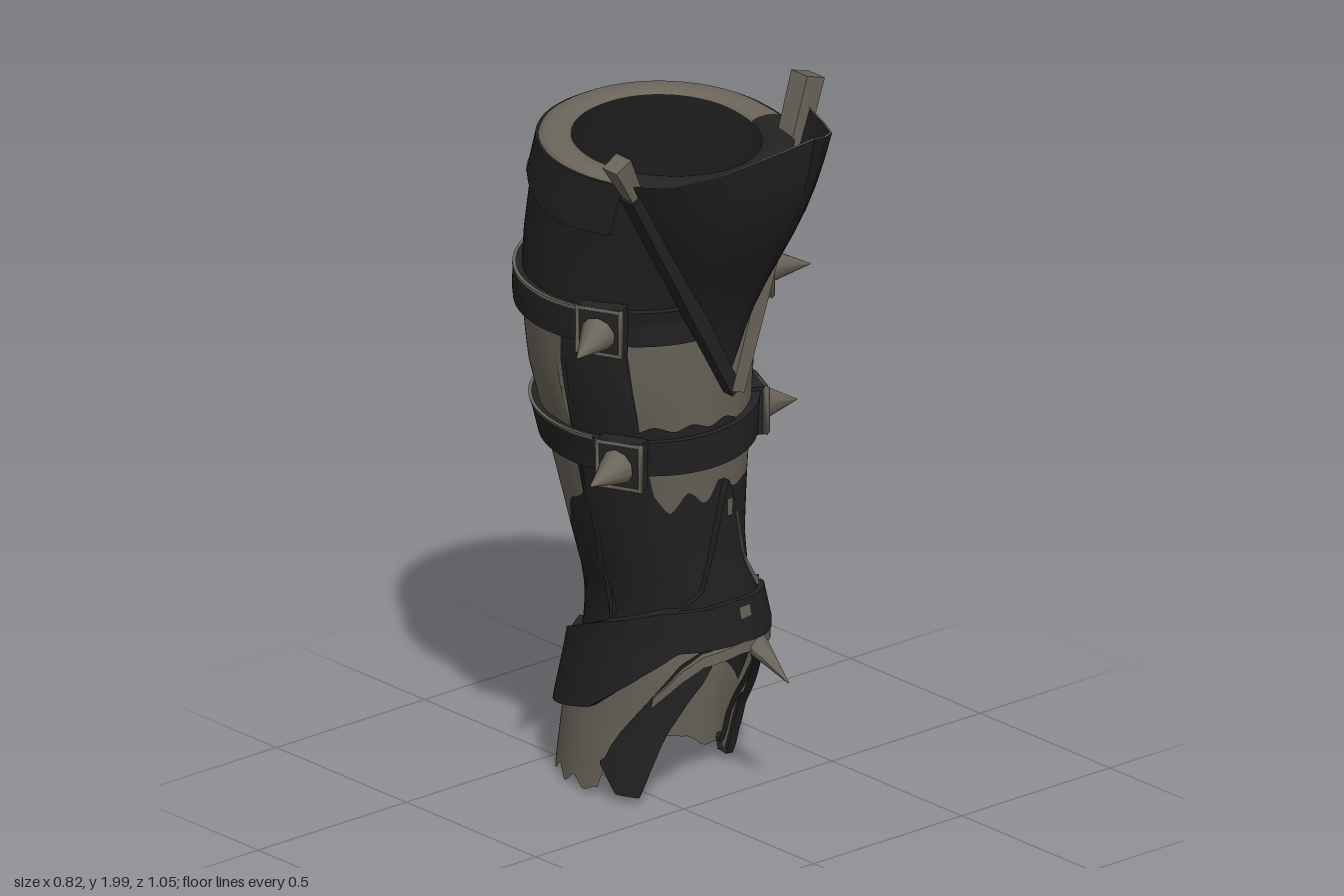
import * as THREE from 'three';
import { toCreasedNormals } from 'three/addons/utils/BufferGeometryUtils.js';

const mat = (name, color) => new THREE.MeshStandardMaterial({ name, color, side: THREE.DoubleSide });
const V = (x, y, z) => new THREE.Vector3(x, y, z);
const DEG = Math.PI / 180;

// Leg cross-sections: y, left x, right x, front z, back z, bulge toward the rear outer side
const SECTIONS = [
  [0.0, -0.1, 0.31, 0.0, -0.51, -0.025], [0.2, -0.085, 0.32, 0.0, -0.49, -0.03], [0.35, -0.075, 0.34, 0.03, -0.46, -0.03],
  [0.45, -0.07, 0.34, 0.03, -0.44, -0.025], [0.55, -0.075, 0.31, 0.03, -0.43, 0], [0.7, -0.125, 0.3, 0.03, -0.43, 0.018],
  [0.85, -0.16, 0.3, 0.05, -0.455, 0.03], [1.0, -0.2, 0.305, 0.07, -0.475, 0.035], [1.2, -0.265, 0.315, 0.09, -0.48, 0.04],
  [1.4, -0.3, 0.3, 0.1, -0.47, 0.045], [1.57, -0.32, 0.29, 0.16, -0.44, 0.035], [1.7, -0.335, 0.295, 0.22, -0.41, 0.02],
  [1.87, -0.34, 0.305, 0.29, -0.36, 0.01],
];

// Linear lookup in rows whose first entry is the key
function lookup(rows, k, col = 1) {
  if (k <= rows[0][0]) return rows[0][col];
  for (let i = 1; i < rows.length; i++) {
    const a = rows[i - 1], b = rows[i];
    if (k <= b[0]) return a[col] + (b[col] - a[col]) * (k - a[0]) / (b[0] - a[0]);
  }
  return rows[rows.length - 1][col];
}
// Point on the leg: angle 0 is the front, 90 the +x side
function legPoint(deg, y, off) {
  const [l, r, f, b, k] = [1, 2, 3, 4, 5].map(c => lookup(SECTIONS, y, c));
  const s = Math.sin(deg * DEG), c = Math.cos(deg * DEG);
  const out = off + (s > 0 && c < 0 ? -2 * s * c * k : 0);
  return V((l + r) / 2 + ((r - l) / 2 + out) * s, y, (f + b) / 2 + ((f - b) / 2 + out) * c);
}
// Smooth grid surface from a point function
function grid(nu, nv, fn) {
  const pos = [], idx = [], w = nv + 1;
  for (let i = 0; i <= nu; i++) for (let j = 0; j <= nv; j++) pos.push(...fn(i / nu, j / nv).toArray());
  for (let i = 0; i < nu; i++) for (let j = 0; j < nv; j++) {
    const a = i * w + j, b = a + w;
    idx.push(a, b, b + 1, a, b + 1, a + 1);
  }
  const g = new THREE.BufferGeometry();
  g.setAttribute('position', new THREE.Float32BufferAttribute(pos, 3));
  g.setIndex(idx);
  return toCreasedNormals(g, 0.8);
}
const value = (f, a) => (typeof f === 'function' ? f(a) : f);
const wrap = a => ((a + 540) % 360) - 180;
const bySide = rows => a => lookup(rows, Math.abs(wrap(a)));
const around = rows => a => lookup(rows, wrap(a));
const jag = (a, size) => size * (Math.abs(((a * 0.045 + 50) % 1) - 0.5) * 2 + 0.6 * Math.sin(a * 0.23));

export function createModel() {
  const group = new THREE.Group();
  const dark = mat('darkLeather', 0x232323), tan = mat('wornHide', 0x6b655a);
  const add = (name, geo, m) => {
    const mesh = new THREE.Mesh(geo, m);
    mesh.name = name;
    group.add(mesh);
    return mesh;
  };
  // Shell between two heights around the leg, with turned-in edges if thick
  function shell(name, m, a0, a1, lo, hi, off = 0, thick = 0, inside = false) {
    const n = Math.max(4, Math.round((a1 - a0) / 3)), rows = 12;
    add(name, grid(n, rows, (u, v) => {
      const a = inside ? a1 + (a0 - a1) * u : a0 + (a1 - a0) * u;
      const edge = thick && (v === 0 || v === 1);
      const t = thick ? Math.min(1, Math.max(0, (v * rows - 1) / (rows - 2))) : v;
      const y = value(lo, a) + (value(hi, a) - value(lo, a)) * t;
      return legPoint(a, y, edge ? off - thick : off);
    }), m);
  }
  const cylinderBetween = (name, m, a, b, r0, r1, sides) => {
    const mesh = add(name, new THREE.CylinderGeometry(r1, r0, a.distanceTo(b), sides), m);
    mesh.position.copy(a).lerp(b, 0.5);
    mesh.quaternion.setFromUnitVectors(V(0, 1, 0), b.clone().sub(a).normalize());
    return mesh;
  };

  // Leg: dark ankle, hide calf with a ragged lower edge, dark collar
  const tear = around([[-180, 0.5], [-165, 0.6], [-150, 0.58], [-120, 0.74], [-90, 0.85], [-82, 1.4], [-48, 1.4],
    [-44, 0.86], [-25, 0.84], [0, 0.88], [40, 0.86], [75, 0.85], [95, 0.81], [114, 0.71], [143, 0.62], [165, 0.57], [180, 0.5]]);
  const tearEdge = a => tear(a) + (Math.abs(wrap(a)) > 176 ? 0 : jag(a, 0.03));
  const cuffLow = around([[-180, 0.17], [-150, 0.18], [-120, 0.21], [-90, 0.25], [-60, 0.37], [-40, 0.44], [0, 0.45],
    [70, 0.42], [100, 0.36], [140, 0.24], [165, 0.18], [180, 0.17]]);
  const cuffHigh = bySide([[0, 0.57], [50, 0.55], [90, 0.49], [135, 0.4], [150, 0.35], [165, 0.38], [180, 0.31]]);
  const arch = bySide([[0, 0.425], [25, 0.405], [38, 0.37], [47, 0.32], [64, 0.2], [76, 0.11], [81, 0.02], [180, 0.02]]);
  const rimY = a => 1.838 - 0.02 * Math.cos(a * DEG);
  shell('ankle', dark, -180, 180, cuffLow, tearEdge);
  shell('calf', tan, -180, 180, tearEdge, 1.42);
  shell('collar', dark, -180, 180, 1.42, rimY);
  const liningLow = a => Math.max(arch(a) + 0.01, 0.15 + 0.13 * Math.max(0, Math.sin(a * DEG)));
  const neck = 0.5;
  shell('lowerLining', dark, -180, 180, liningLow, neck, -0.02, 0, true);
  shell('upperLining', dark, -180, 180, neck, rimY, -0.06, 0, true);

  // Rounded rim, hide around the back and dark in front
  const rim = (name, m, a0, a1) => add(name, grid(Math.round((a1 - a0) / 6), 8, (u, v) => {
    const a = a0 + (a1 - a0) * u, t = v * Math.PI;
    return legPoint(a, rimY(a), -0.035 + 0.042 * Math.cos(t)).add(V(0, 0.014 * Math.sin(t), 0));
  }), m);
  rim('rimBack', tan, 76, 300);
  rim('rimFront', dark, -60, 76);

  // Overlapping collar with a point at the back
  const collarLow = bySide([[0, 1.66], [90, 1.68], [135, 1.75], [160, 1.72], [172, 1.6], [180, 1.56]]);
  shell('collarFlap', dark, 60, 300, collarLow, rimY, 0.014, 0.014);
  shell('collarFlapEdge', tan, 130, 230, a => collarLow(a) - 0.008, a => collarLow(a) + 0.006, 0.016, 0.01);

  // Two straps with buckles and spikes
  const straps = [
    { y: a => 1.41 - 0.02 * Math.cos(a * DEG) + 0.01 * Math.sin(a * DEG), spikes: [
      [V(-0.275, 1.395, 0.0), V(-0.41, 1.365, 0.055)], [V(0.28, 1.41, -0.04), V(0.41, 1.4, 0.02)]] },
    { y: a => 1.03 - 0.015 * Math.cos(a * DEG) + 0.02 * Math.sin(a * DEG), spikes: [
      [V(-0.19, 1.0, -0.02), V(-0.335, 0.985, 0.02)], [V(0.28, 1.03, -0.06), V(0.4, 1.02, -0.02)]] },
  ];
  for (const { y, spikes } of straps) {
    shell('strap', dark, -180, 180, a => y(a) - 0.05, a => y(a) + 0.05, 0.022, 0.025);
    shell('strapEdge', tan, 80, 290, a => y(a) + 0.044, a => y(a) + 0.053, 0.024, 0.009);
    for (const [base, tip] of spikes) {
      const dir = tip.clone().sub(base).normalize();
      const turn = Math.sign(dir.x) * 65 * DEG;
      const plate = add('buckle', new THREE.BoxGeometry(0.12, 0.13, 0.05), dark);
      plate.position.copy(base);
      plate.rotation.y = turn;
      const frame = add('buckleFrame', new THREE.TorusGeometry(0.084, 0.01, 4, 4).rotateZ(Math.PI / 4), tan);
      frame.position.copy(base).addScaledVector(V(Math.sin(turn), 0, Math.cos(turn)), 0.022);
      frame.rotation.y = turn;
      cylinderBetween('spike', tan, base.clone().addScaledVector(dir, 0.025), tip, 0.048, 0.001, 10);
    }
  }
  // Dark stains beside the straps
  shell('strapStain', dark, -48, 14, 1.04, a => 1.085 + 0.008 * Math.sin(a * 0.3), 0.005);
  shell('strapStain', dark, 42, 86, a => 1.335 + 0.008 * Math.sin(a * 0.3), 1.38, 0.005);

  // Flared knee plate: a fan from a low apex up to a curved, pointed top edge
  const apex = V(0.05, 1.2, 0.115);
  const top = [[-0.34, 1.85, 0.17], [-0.28, 1.86, 0.27], [-0.2, 1.9, 0.37], [-0.08, 1.965, 0.47], [-0.015, 2.0, 0.52],
    [0.06, 1.975, 0.48], [0.15, 1.94, 0.4], [0.23, 1.91, 0.28], [0.3, 1.9, 0.13]].map(p => V(...p));
  const topPoint = u => {
    const s = Math.min(u * 8, 7.9999), i = Math.floor(s);
    return top[i].clone().lerp(top[i + 1], s - i);
  };
  add('kneePlate', grid(16, 10, (u, v) => apex.clone().lerp(topPoint(u), v)
    .add(V(0, 0, -0.028 * Math.sin(2 * Math.PI * v) * Math.sin(Math.PI * u)))), dark);
  add('kneePlateEdge', grid(16, 1, (u, v) => topPoint(u).multiply(V(1 - 0.015 * v, 1, 1 - 0.015 * v))), tan);

  // V-shaped bars along the sides of the knee plate
  const bar = (name, m, a, b, w) => {
    const mesh = cylinderBetween(name, m, a, b, w * 0.7, w, 4);
    mesh.geometry.rotateY(Math.PI / 4);
    mesh.geometry = toCreasedNormals(mesh.geometry, 0.5);
  };
  const foot = V(0.055, 1.18, 0.125), leftEnd = V(-0.372, 1.92, 0.165), rightEnd = V(0.305, 1.98, 0.13);
  const split = foot.clone().lerp(leftEnd, 0.86);
  bar('kneeBarRight', dark, foot, split, 0.036);
  bar('kneeBarRightTip', tan, split, leftEnd, 0.039);
  bar('kneeBarLeft', tan, foot, rightEnd, 0.044);

  // Pointed tongue over the shin with worn edges
  const tongue = [[-40, 0.55], [-20, 0.6], [-8, 0.7], [0, 0.84], [5, 0.92], [11, 0.82], [20, 0.66], [32, 0.59], [55, 0.56]];
  const tongueHigh = a => lookup(tongue, a);
  shell('shinTongue', dark, -40, 55, 0.5, tongueHigh, 0.022, 0.022);
  shell('shinTongueEdge', tan, 10, 46, a => tongueHigh(a) - 0.022, a => tongueHigh(a) + 0.004, 0.026, 0.01);
  shell('tongueTipWear', tan, 3, 7, 0.81, 0.86, 0.025);
  shell('cuffWear', tan, 2, 12, 0.515, 0.55, 0.041);

  // Ankle cuff, dropping toward the heel
  shell('ankleCuff', dark, -180, 180, cuffLow, cuffHigh, 0.038, 0.04);

  // Heel guard: open arch in front, ragged hem below
  const hem = a => arch(a) + Math.max(-0.015, jag(a * 1.3, 0.016));
  shell('heelGuard', tan, -180, 180, hem, a => Math.max(cuffLow(a) + 0.03, hem(a)), 0.012);
  const lip = around([[-52, 0.29], [-38, 0.365], [-25, 0.405], [0, 0.425], [40, 0.41], [60, 0.385], [80, 0.33]]);
  shell('archLip', tan, -52, 80, a => lip(a) - 0.006, a => lip(a) + 0.024, 0.036, 0.03);

  // Dark side straps framing the arch
  const strapRight = [[-80, 0.1], [-68, 0.03], [-53, 0.03], [-48, 0.1], [-40, 0.2], [-30, 0.3], [-18, 0.39]];
  const strapLeft = [[25, 0.385], [40, 0.31], [58, 0.19], [67, 0.1], [72, 0.03], [82, 0.03], [85, 0.06]];
  for (const rows of [strapRight, strapLeft]) {
    const low = a => lookup(rows, a);
    shell('sideStrap', dark, rows[0][0], rows[6][0], low, a => Math.max(arch(a) + 0.03, low(a) + 0.01), 0.016, 0.02);
  }

  // Hooked point at the top of the arch
  const hook = cylinderBetween('archHook', tan, V(0.2, 0.435, 0.03), V(0.2, 0.355, 0.175), 0.042, 0.002, 6);
  hook.scale.z = 0.6;
  return group;
}
